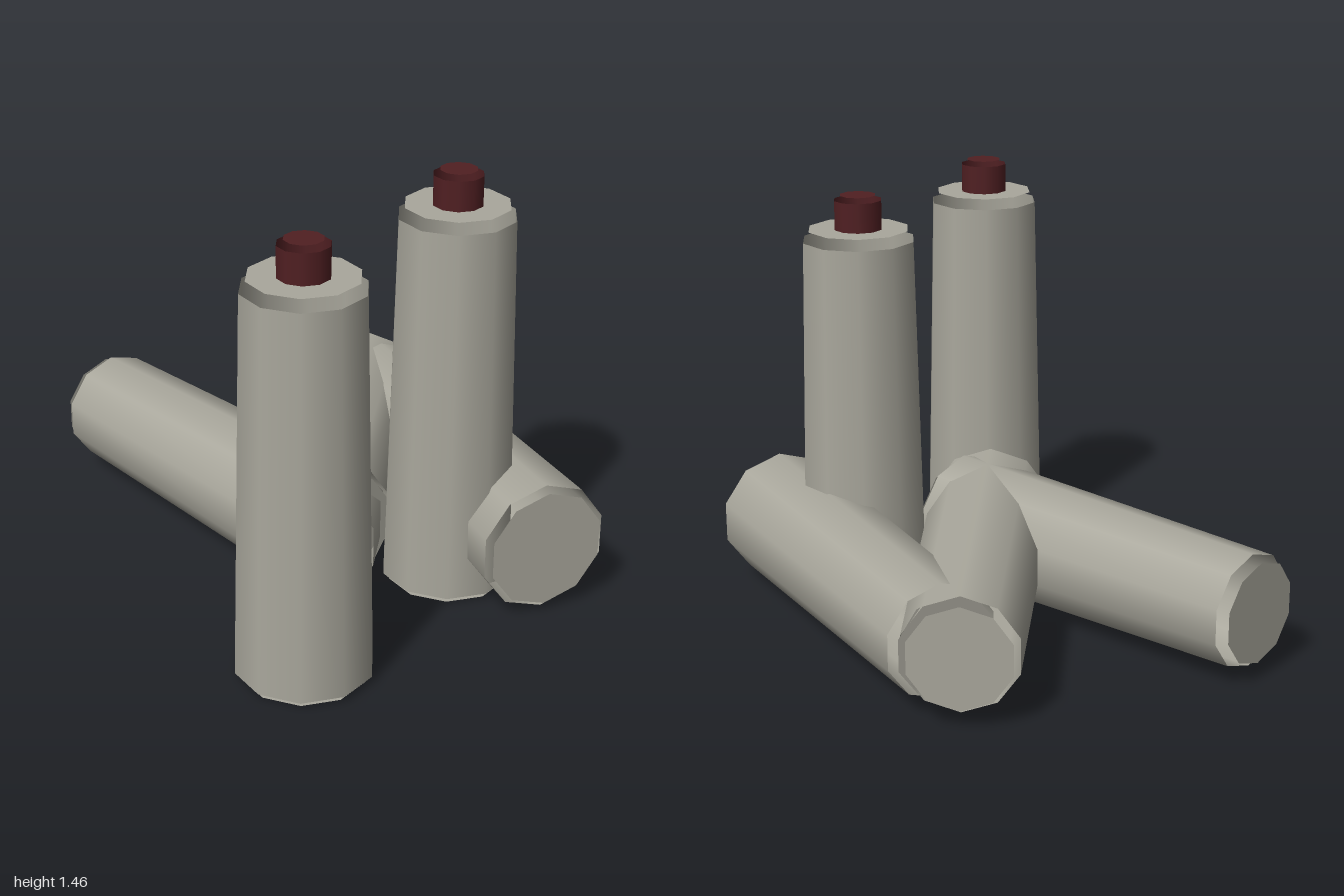
import * as THREE from 'three';

const SIDES = 10;
const shell = new THREE.MeshStandardMaterial({ name: 'stone grey', color: 0xa9a79c, side: THREE.DoubleSide });
const nozzle = new THREE.MeshStandardMaterial({ name: 'dark red', color: 0x501f22, side: THREE.DoubleSide });

function addMesh(parent, name, geometry, material, y) {
  const mesh = new THREE.Mesh(geometry, material);
  mesh.name = name;
  mesh.position.y = y;
  parent.add(mesh);
}

// Ten-sided disc with a corner on the z axis, facing up or down
function disc(radius, up) {
  const g = new THREE.CircleGeometry(radius, SIDES, Math.PI / 2);
  return g.rotateX(up ? -Math.PI / 2 : Math.PI / 2);
}

// Tapered open tube with separate end plates held slightly off the rims
function makeCan(name, withCap) {
  const can = new THREE.Group();
  can.name = name;
  const tube = new THREE.CylinderGeometry(0.195, 0.225, 1.282, SIDES, 1, true);
  addMesh(can, 'canBody', tube, shell, 0.641);
  addMesh(can, 'canBase', disc(0.205, false), shell, -0.022);
  addMesh(can, 'canTop', disc(0.175, true), shell, 1.318);
  if (withCap) {
    const ring = new THREE.CylinderGeometry(0.083, 0.083, 0.1, SIDES, 1, true);
    addMesh(can, 'capSide', ring, nozzle, 1.368);
    addMesh(can, 'capTop', disc(0.062, true), nozzle, 1.434);
  }
  return can;
}

export function createModel() {
  const model = new THREE.Group();
  model.name = 'cans';

  // Standing cans
  for (const [name, z] of [['frontStandingCan', 0.662], ['rearStandingCan', -0.11]]) {
    const can = makeCan(name, true);
    can.position.set(0.5, 0.022, z);
    model.add(can);
  }

  // Lying cans: base centre x, z and direction from base to top x, z
  const lying = [
    ['rightLyingCan', 0.309, 0.235, -0.985, -0.173],
    ['middleLyingCan', 0.267, 0.35, -0.484, -0.875],
    ['rearLyingCan', 0.8825, -0.11, -0.88, -0.475],
  ];
  const up = new THREE.Vector3(0, 1, 0);
  for (const [name, x, z, dx, dz] of lying) {
    const can = makeCan(name, false);
    const axis = new THREE.Vector3(dx, 0, dz).normalize();
    const across = new THREE.Vector3().crossVectors(axis, up);
    can.quaternion.setFromRotationMatrix(new THREE.Matrix4().makeBasis(across, axis, up));
    can.position.set(x, 0.235, z);
    model.add(can);
  }
  return model;
}
